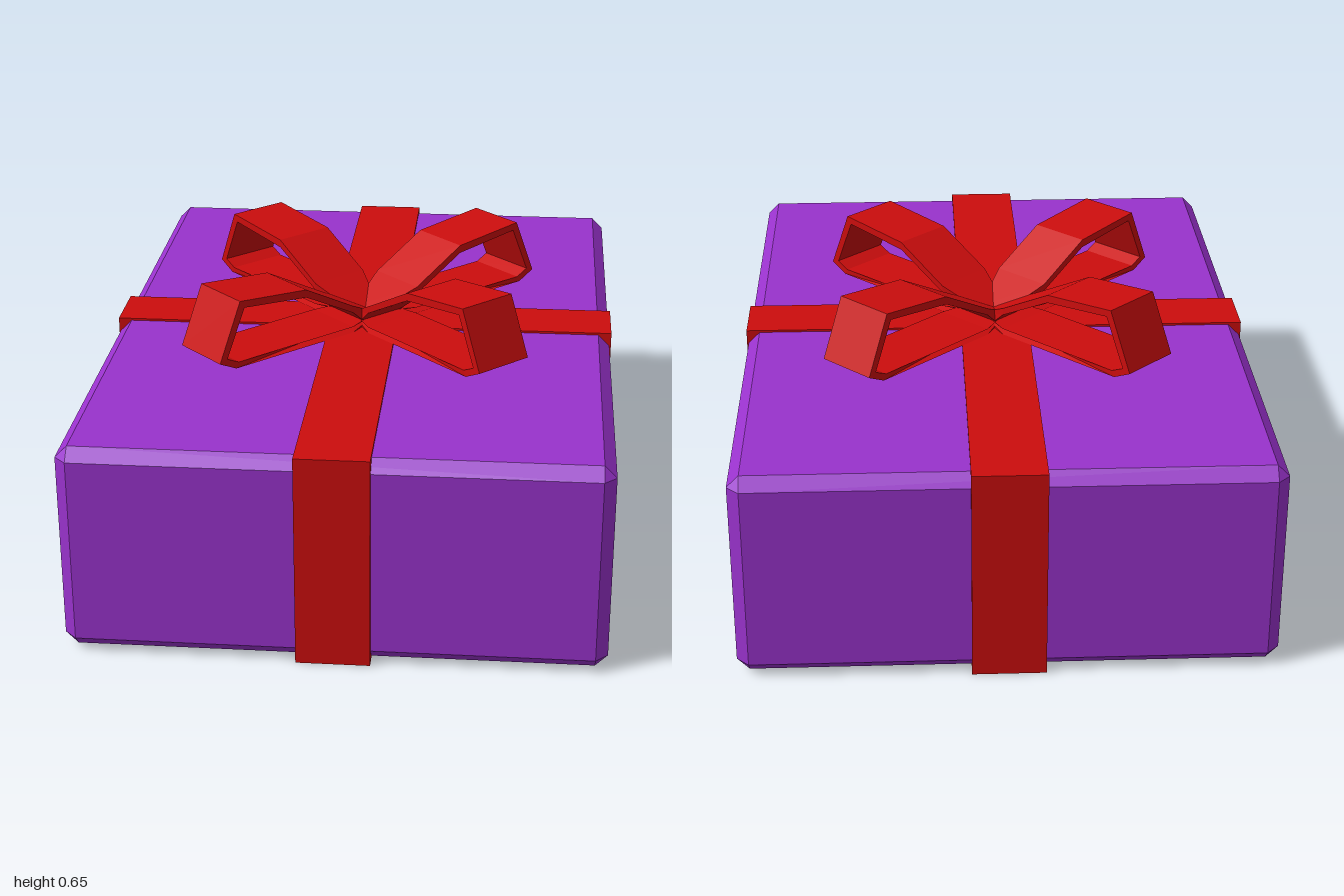
import * as THREE from 'three';
import { ConvexGeometry } from 'three/addons/geometries/ConvexGeometry.js';

const purple = new THREE.MeshStandardMaterial({ color: 0x9932cc });
purple.name = 'purple paper';
const red = new THREE.MeshStandardMaterial({ color: 0xcc0d0d });
red.name = 'red ribbon';

// Box with every edge cut flat by the same bevel
function beveledBox(hx, hy, hz, bevel) {
  const points = [];
  for (const sx of [-1, 1]) for (const sy of [-1, 1]) for (const sz of [-1, 1]) {
    for (let face = 0; face < 3; face++) {
      const cut = [bevel, bevel, bevel];
      cut[face] = 0;
      points.push(new THREE.Vector3(sx * (hx - cut[0]), sy * (hy - cut[1]), sz * (hz - cut[2])));
    }
  }
  return new ConvexGeometry(points);
}

// One bow loop pointing along +x: a hollow profile extruded to the ribbon width, narrowed at the knot
function bowLoopGeometry() {
  const toPoints = (list) => list.map(([x, y]) => new THREE.Vector2(x, y));
  const shape = new THREE.Shape(toPoints([
    [-0.01, 0.488], [0.1, 0.488], [0.445, 0.488], [0.49, 0.51],
    [0.43, 0.648], [0.24, 0.63], [0.1, 0.555], [-0.01, 0.5],
  ]));
  shape.holes.push(new THREE.Path(toPoints([
    [0.06, 0.505], [0.1, 0.538], [0.24, 0.611], [0.418, 0.63],
    [0.469, 0.517], [0.437, 0.502], [0.1, 0.502],
  ])));
  const geometry = new THREE.ExtrudeGeometry(shape, { depth: 1, bevelEnabled: false });
  const pos = geometry.attributes.position;
  for (let i = 0; i < pos.count; i++) {
    const width = THREE.MathUtils.clamp(0.075 + pos.getX(i) * 0.85, 0.07, 0.15);
    pos.setZ(i, (pos.getZ(i) - 0.5) * width);
  }
  geometry.computeVertexNormals();
  return geometry;
}

export function createModel() {
  const model = new THREE.Group();
  model.name = 'giftBox';
  const add = (parent, name, geometry, material, y = 0) => {
    const mesh = new THREE.Mesh(geometry, material);
    mesh.name = name;
    mesh.position.y = y;
    parent.add(mesh);
    return mesh;
  };

  // Wrapped box with crossing ribbons, turned on the ground
  const parcel = new THREE.Group();
  parcel.name = 'parcel';
  parcel.rotation.y = THREE.MathUtils.degToRad(-34.6);
  model.add(parcel);
  add(parcel, 'box', beveledBox(0.59, 0.238, 0.82, 0.027), purple, 0.243);
  add(parcel, 'longRibbon', new THREE.BoxGeometry(0.162, 0.487, 1.656), red, 0.2435);
  add(parcel, 'shortRibbon', new THREE.BoxGeometry(1.188, 0.485, 0.148), red, 0.2435);

  // Four loops of the bow
  const bow = new THREE.Group();
  bow.name = 'bow';
  model.add(bow);
  const loop = bowLoopGeometry();
  for (let i = 0; i < 4; i++) {
    add(bow, 'bowLoop' + (i + 1), loop, red).rotation.y = THREE.MathUtils.degToRad(10 + i * 90);
  }
  return model;
}
